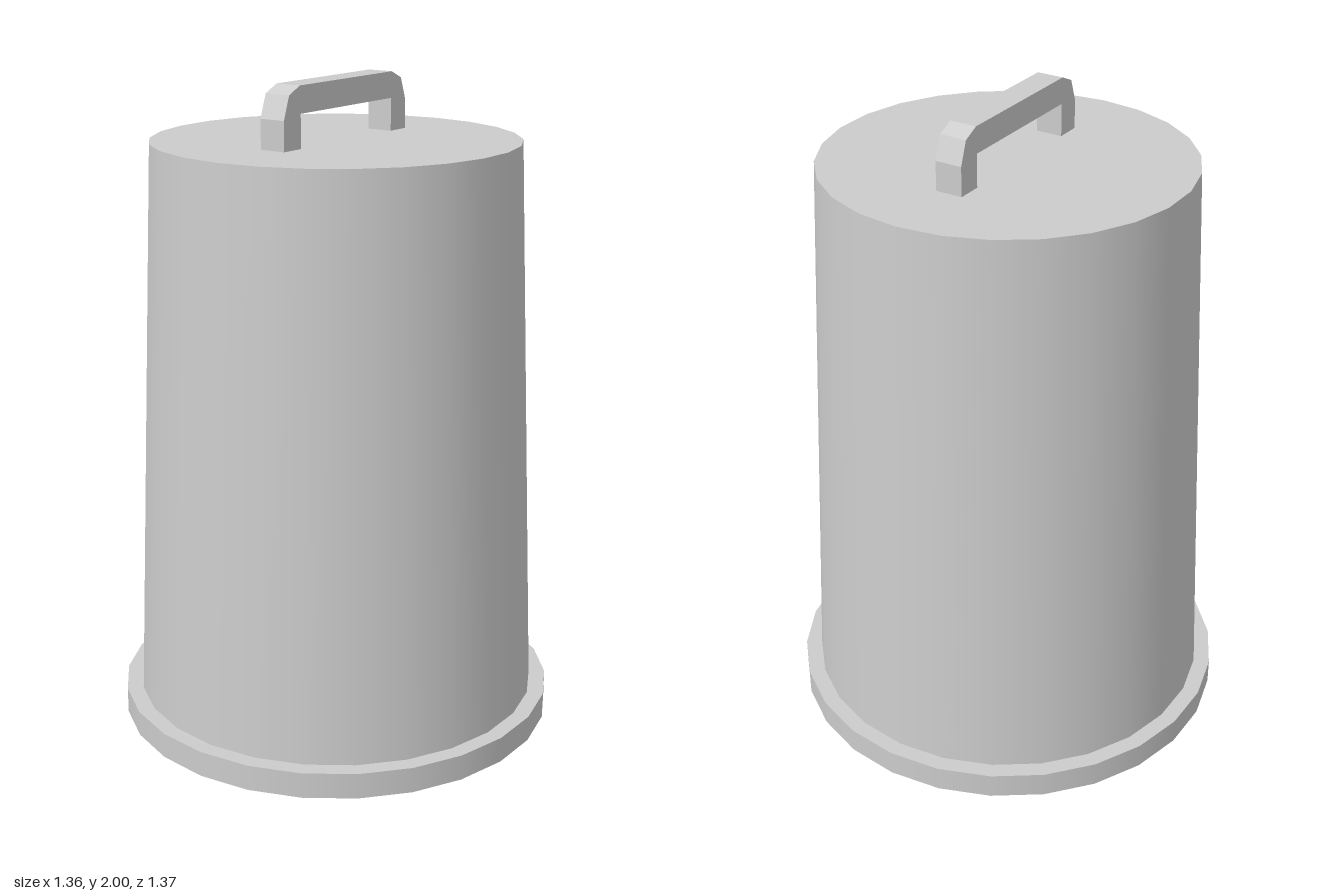
import * as THREE from 'three';

const SIDES = 26;

export function createModel() {
  const model = new THREE.Group();
  model.name = 'bin';
  const material = new THREE.MeshStandardMaterial({ color: 0xcccccc });

  const add = (name, geometry) => {
    const mesh = new THREE.Mesh(geometry, material);
    mesh.name = name;
    model.add(mesh);
    return mesh;
  };

  // Wide flat rim on the ground
  add('baseRim', new THREE.CylinderGeometry(0.683, 0.683, 0.08, SIDES)).position.y = 0.04;

  // Tapered body with a flat top
  add('body', new THREE.CylinderGeometry(0.557, 0.632, 1.74, SIDES)).position.y = 0.95;

  // Square-section handle with bevelled outer corners, running front to back
  const half = [[0.305, 1.82], [0.305, 1.908], [0.28, 1.977], [0.23, 2]];
  const inner = [[-0.227, 1.82], [-0.227, 1.92], [0.227, 1.92], [0.227, 1.82]];
  const mirrored = half.map(([z, y]) => [-z, y]).reverse();
  const outline = [...half, ...mirrored, ...inner].map(([z, y]) => new THREE.Vector2(z, y));
  const handle = new THREE.ExtrudeGeometry(new THREE.Shape(outline), {
    depth: 0.084,
    bevelEnabled: false,
  });
  handle.translate(0, 0, -0.042).rotateY(-Math.PI / 2);
  add('handle', handle);

  return model;
}
